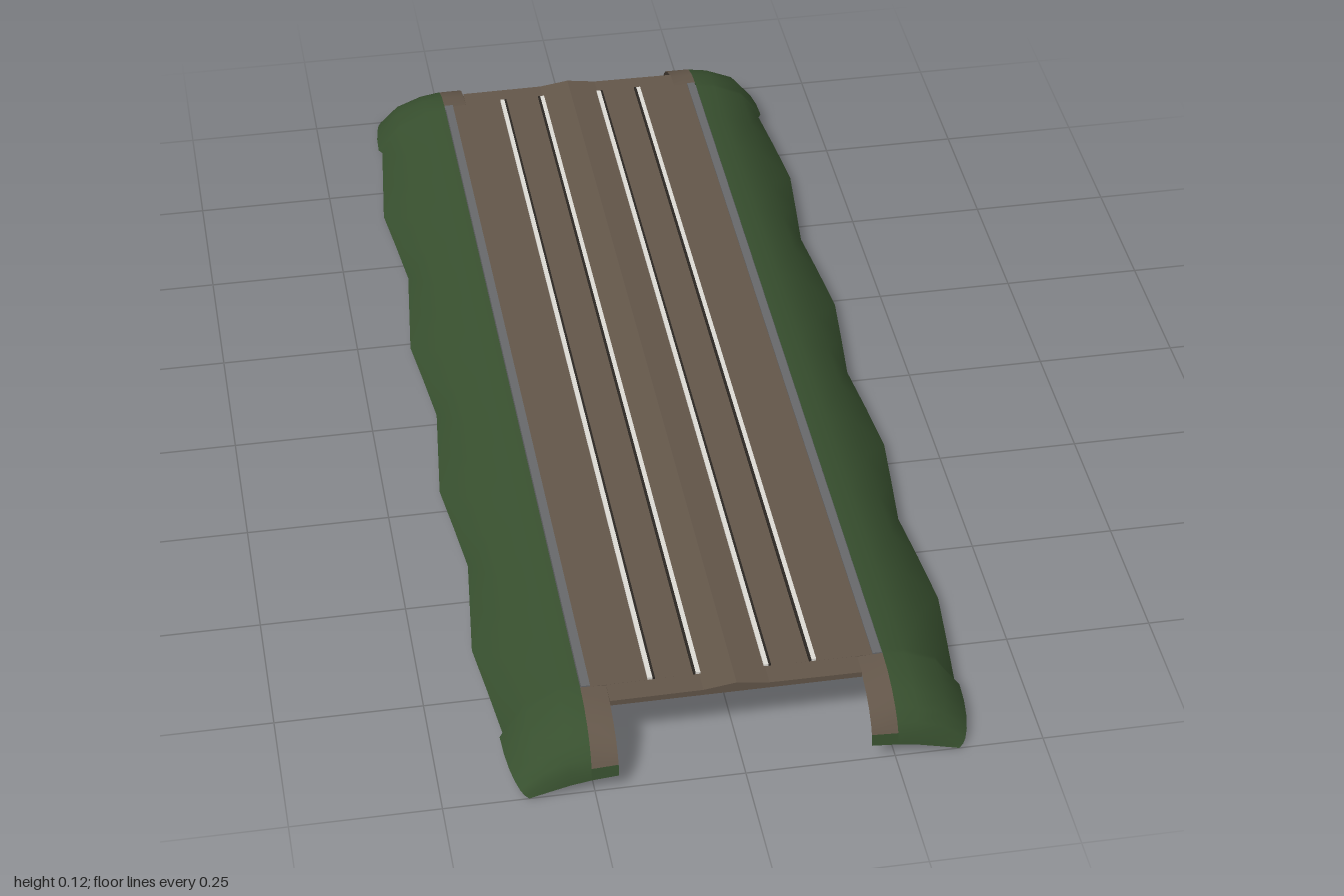
import * as THREE from 'three';

const flat = (name, color, side = THREE.FrontSide) => {
  const m = new THREE.MeshStandardMaterial({ color, side });
  m.name = name;
  return m;
};

// Smooth surface through rows of [x, y, z] points; side = 1 left, -1 right
function loft(rows, side) {
  const n = rows[0].length, pos = [], idx = [];
  rows.forEach(r => r.forEach(p => pos.push(p[0] * side, p[1], p[2])));
  for (let i = 0; i < rows.length - 1; i++) {
    for (let j = 0; j < n - 1; j++) {
      const a = i * n + j, b = a + 1, c = a + n, d = c + 1;
      if (side > 0) idx.push(a, c, b, b, c, d);
      else idx.push(a, b, c, b, d, c);
    }
  }
  const g = new THREE.BufferGeometry();
  g.setAttribute('position', new THREE.Float32BufferAttribute(pos, 3));
  g.setIndex(idx);
  g.computeVertexNormals();
  return g;
}

export function createModel() {
  const root = new THREE.Group();
  root.name = 'trackCrossing';
  const grass = flat('grass green', 0x38502f, THREE.DoubleSide);
  const earth = flat('earth brown', 0x64574a);
  const earthOpen = flat('shoulder brown', 0x64574a, THREE.DoubleSide);
  const curbGrey = flat('curb grey', 0x68696b);
  const dark = flat('groove dark', 0x2c2823);
  const steel = flat('rail light', 0xdedcd6);
  const add = (name, geo, mat, x = 0, y = 0, z = 0) => {
    const m = new THREE.Mesh(geo, mat);
    m.name = name;
    m.position.set(x, y, z);
    root.add(m);
    return m;
  };

  // Deck: shallow slab with a raised crown, and narrower tongues at both ends
  const slab = (w, len) => {
    const s = new THREE.Shape([[-w, 0.1], [w, 0.1], [w, 0.11], [0.055, 0.111], [0, 0.119], [-0.055, 0.111], [-w, 0.11]]
      .map(p => new THREE.Vector2(...p)));
    return new THREE.ExtrudeGeometry(s, { depth: len, bevelEnabled: false });
  };
  add('deck', slab(0.248, 1.74), earth, 0, 0, -0.87);
  add('frontTongue', slab(0.21, 0.04), earth, 0, 0, 0.87);
  add('backTongue', slab(0.21, 0.04), earth, 0, 0, -0.91);

  // Profiles across the bank: along the middle and at the very end
  const outerX = z => Math.abs(z) < 0.87 ? 0.393 + 0.011 * -Math.cos(Math.abs(z) * Math.PI / 0.215) : 0.388;
  const mid = z => [[0.21, 0.109], [0.253, 0.111], [0.29, 0.105], [0.345, 0.08],
    [outerX(z), 0.021 - 0.004 * Math.max(0, -Math.cos(Math.abs(z) * Math.PI / 0.215))]];
  const tip = [[0.21, 0.028], [0.255, 0.024], [0.29, 0.018], [0.325, 0.009], [0.358, 0]];
  const row = z => {
    const s = Math.min(1, Math.max(0, (Math.abs(z) - 0.87) / 0.13));
    const f = 1 - Math.sqrt(1 - s * s);
    return mid(z).map((p, i) => [
      p[0] + (tip[i][0] - p[0]) * f, p[1] + (tip[i][1] - p[1]) * f, z]);
  };
  const ends = [0.87, 0.91, 0.945, 0.97, 0.987, 0.996, 1];
  const middle = [];
  for (let i = -8; i <= 8; i++) middle.push(i * 0.1075 / 1);
  const zs = [...ends.slice().reverse().map(z => -z), ...middle, ...ends];

  for (const side of [1, -1]) {
    const label = side > 0 ? 'left' : 'right';
    // Grassy bank
    add(label + 'Bank', loft(zs.map(z => row(z).slice(1)), side), grass);
    // Earth shoulders curving down at each end, with a grass foot
    for (const e of [1, -1]) {
      const list = e > 0 ? ends : ends.slice().reverse().map(z => -z);
      const rows = list.map(z => row(z).slice(0, 2));
      const cut = e > 0 ? [rows.slice(0, 6), rows.slice(5)] : [rows.slice(1), rows.slice(0, 2)];
      const end = e > 0 ? 'Front' : 'Back';
      add(label + end + 'Shoulder', loft(cut[0], side), earthOpen);
      add(label + end + 'ShoulderFoot', loft(cut[1], side), grass);
    }
    // Curb along the deck edge
    add(label + 'Curb', new THREE.BoxGeometry(0.015, 0.026, 1.74), curbGrey, side * 0.244, 0.1, 0);
    // Rails with a dark groove beside each
    for (const x of [0.057, 0.137]) {
      add(label + 'Rail', new THREE.BoxGeometry(0.008, 0.005, 1.74), steel, side * x, 0.1125, 0);
      add(label + 'Groove', new THREE.BoxGeometry(0.004, 0.005, 1.74), dark,
        side * x + (x > 0.1 ? -side : side) * 0.006, 0.1128, 0);
    }
    // Sloping fins beneath the deck
    for (const [x, tilt] of [[0.017, 1], [0.173, -1]]) {
      const fin = add(label + 'Fin', new THREE.BoxGeometry(0.022, 0.001, 1.74), earth, side * x, 0.093, 0);
      fin.rotation.z = side * tilt * Math.PI / 4;
    }
  }
  return root;
}
